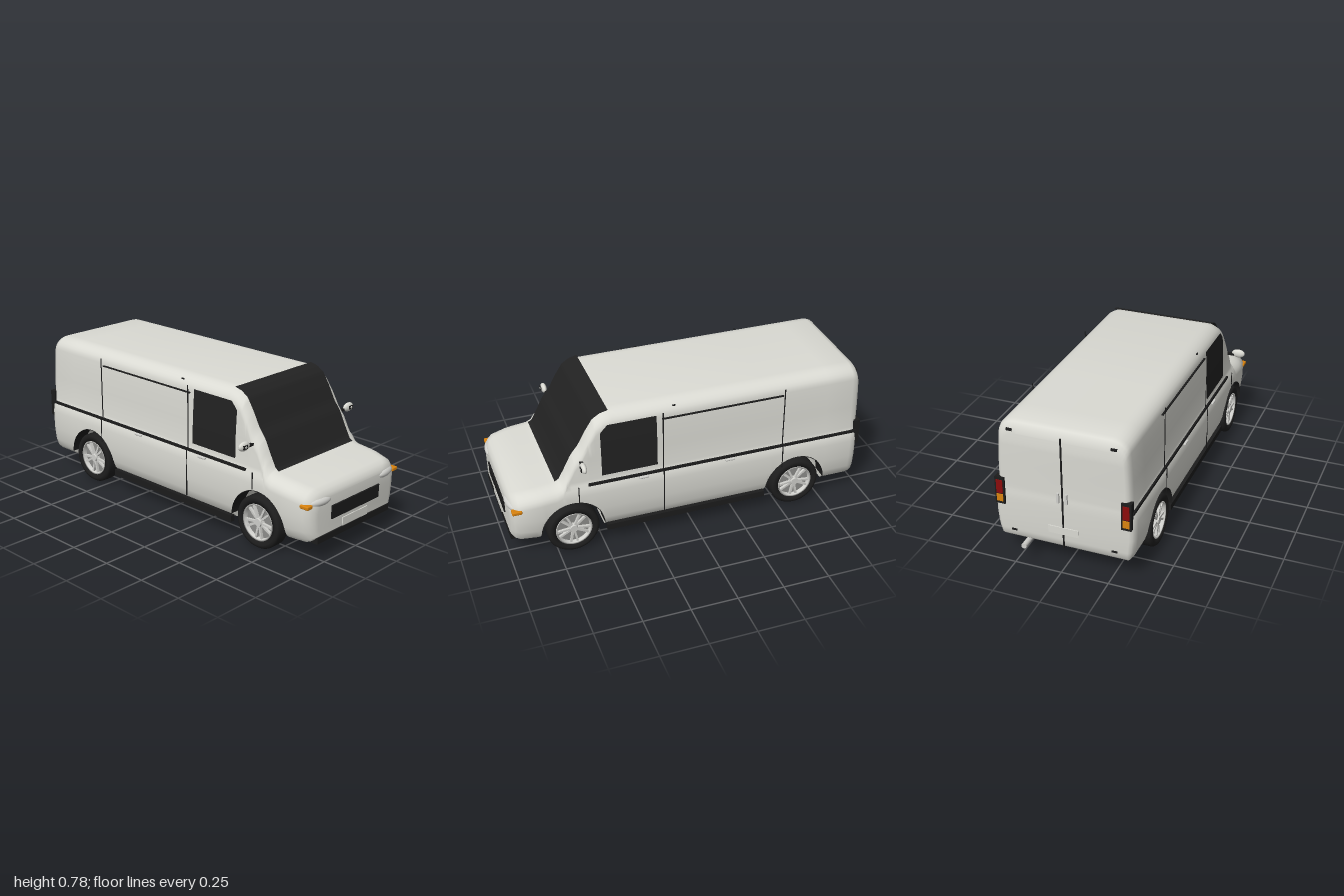
import * as THREE from 'three';
import { toCreasedNormals } from 'three/addons/utils/BufferGeometryUtils.js';
import { RoundedBoxGeometry } from 'three/addons/geometries/RoundedBoxGeometry.js';

const mat = (name, color, side = THREE.FrontSide) => {
  const m = new THREE.MeshStandardMaterial({ color, side });
  m.name = name;
  return m;
};

// Piecewise linear lookup in a table of [key, value] with rising keys
function lookup(table, k) {
  if (k <= table[0][0]) return table[0][1];
  for (let i = 1; i < table.length; i++) {
    const [k0, v0] = table[i - 1], [k1, v1] = table[i];
    if (k <= k1) return v0 + (v1 - v0) * (k - k0) / (k1 - k0);
  }
  return table[table.length - 1][1];
}

// Body lines: roof height and plan taper along z, half width along y
const ROOF = [[-0.957, 0.72], [-0.948, 0.755], [-0.935, 0.772], [-0.91, 0.78], [0.43, 0.78], [0.48, 0.768], [0.52, 0.742],
  [0.56, 0.68], [0.6, 0.605], [0.64, 0.555], [0.68, 0.475], [0.71, 0.42], [0.74, 0.405], [0.86, 0.392], [0.94, 0.378],
  [0.965, 0.365], [0.98, 0.345], [0.985, 0.33]];
const TAPER = [[-0.957, 0.92], [-0.948, 0.96], [-0.935, 0.985], [-0.91, 1], [0.82, 1], [0.9, 0.985], [0.94, 0.955],
  [0.965, 0.905], [0.98, 0.84], [0.985, 0.78]];
const FLOOR = [[-0.957, 0.16], [-0.948, 0.13], [-0.935, 0.115], [-0.91, 0.11], [0.94, 0.11], [0.965, 0.12], [0.985, 0.14]];
const SIDE = [[0.1, 0.325], [0.13, 0.35], [0.17, 0.363], [0.24, 0.371], [0.34, 0.372], [0.38, 0.366], [0.4, 0.355],
  [0.42, 0.351], [0.55, 0.349], [0.65, 0.343], [0.72, 0.337]];
const AXLES = [0.665, -0.59];
const ARCH = 0.17, AXLE_Y = 0.14, CORNER_H = 0.07, CORNER_W = 0.09;

function floorAt(z) {
  for (const a of AXLES) {
    const d = Math.abs(z - a);
    if (d <= ARCH + 1e-6) return AXLE_Y + Math.sqrt(Math.max(0, ARCH * ARCH - d * d));
  }
  return lookup(FLOOR, z);
}

// One half of a cross-section, from the sill up to the roof
function halfSection(z) {
  const bottom = floorAt(z), eave = lookup(ROOF, z) - CORNER_H, f = lookup(TAPER, z);
  const pts = [0.11, ...SIDE.slice(1).map(p => p[0]), 0.78].map(level => {
    const y = Math.min(Math.max(level, bottom), Math.max(eave, bottom));
    return [lookup(SIDE, y) * f, y];
  });
  const w = pts[pts.length - 1][0];
  for (let i = 1; i <= 7; i++) {
    const a = i / 7 * Math.PI / 2;
    pts.push([w - CORNER_W * (1 - Math.cos(a)), Math.max(eave, bottom) + CORNER_H * Math.sin(a)]);
  }
  return pts;
}

function bodyGeometry() {
  const zs = ROOF.map(r => r[0]);
  for (const a of AXLES) {
    zs.push(a - ARCH - 0.0005, a + ARCH + 0.0005);
    for (let i = 0; i <= 20; i++) zs.push(a + ARCH * Math.cos(i / 20 * Math.PI));
  }
  zs.sort((a, b) => a - b);
  const pos = [], idx = [];
  let n = 0;
  for (const z of zs) {
    const half = halfSection(z);
    const ring = [...half, ...half.slice().reverse().map(([x, y]) => [-x, y])];
    n = ring.length;
    ring.forEach(([x, y]) => pos.push(x, y, z));
  }
  for (let s = 0; s < zs.length - 1; s++) {
    for (let i = 0; i < n; i++) {
      const a = s * n + i, b = s * n + (i + 1) % n;
      idx.push(a, b, b + n, a, b + n, a + n);
    }
  }
  // Nose and tail caps
  const last = (zs.length - 1) * n;
  for (let i = 0; i < n / 2 - 1; i++) {
    const j = n - 1 - i;
    idx.push(last + i, last + i + 1, last + j - 1, last + i, last + j - 1, last + j);
    idx.push(i, j - 1, i + 1, i, j, j - 1);
  }
  const g = new THREE.BufferGeometry();
  g.setAttribute('position', new THREE.Float32BufferAttribute(pos, 3));
  g.setIndex(idx);
  return toCreasedNormals(g, 0.75);
}

// Grid whose vertices are placed by a rule of u, v in 0..1
function sheet(nu, nv, rule) {
  const g = new THREE.PlaneGeometry(1, 1, nu, nv), p = g.attributes.position;
  for (let i = 0; i < p.count; i++) p.setXYZ(i, ...rule(p.getX(i) + 0.5, p.getY(i) + 0.5));
  g.computeVertexNormals();
  return g;
}

export function createModel() {
  const model = new THREE.Group();
  const paint = mat('body paint', 0xdadad3);
  const glass = mat('dark glass', 0x222222, THREE.DoubleSide);
  const trim = mat('black trim', 0x1c1c1c, THREE.DoubleSide);
  const rubber = mat('tyre rubber', 0x1e1e1e);
  const silver = mat('silver', 0xd0d0cc, THREE.DoubleSide);
  const recess = mat('wheel recess grey', 0x8e8e8b);
  const amber = mat('amber lens', 0xd9830f);
  const red = mat('red lens', 0x8c0c0c);

  const add = (name, geo, material, x = 0, y = 0, z = 0, parent = model) => {
    const m = new THREE.Mesh(geo, material);
    m.name = name;
    m.position.set(x, y, z);
    parent.add(m);
    return m;
  };
  const box = (name, material, w, h, d, x, y, z, parent) => add(name, new THREE.BoxGeometry(w, h, d), material, x, y, z, parent);

  add('body', bodyGeometry(), paint);
  add('windscreen', sheet(1, 28, (u, v) => {
    const z = 0.73 - 0.295 * v;
    return [(u - 0.5) * 0.59, lookup(ROOF, z) + 0.004, z + 0.006];
  }), glass);

  // Nose
  box('grille', trim, 0.38, 0.07, 0.008, 0, 0.24, 0.987);
  box('grilleRail', trim, 0.38, 0.006, 0.014, 0, 0.273, 0.987);
  box('frontPlate', paint, 0.2, 0.045, 0.006, 0, 0.162, 0.987);
  box('frontBumper', trim, 0.58, 0.034, 0.155, 0, 0.117, 0.908);

  // Tail
  box('rearDoorSeam', trim, 0.008, 0.62, 0.006, 0, 0.43, -0.958);
  box('rearPlate', paint, 0.16, 0.04, 0.006, 0, 0.22, -0.959);
  const pipe = add('exhaust', new THREE.CylinderGeometry(0.014, 0.014, 0.12, 20), silver, 0.2, 0.107, -0.94);
  pipe.rotation.x = Math.PI / 2;

  // Wheel shapes, axis along y before turning
  const tyreGeo = new THREE.LatheGeometry([[0.096, -0.036], [0.118, -0.043], [0.132, -0.04], [0.14, -0.028], [0.14, 0.028],
    [0.132, 0.04], [0.118, 0.043], [0.096, 0.036], [0.096, -0.036]].map(p => new THREE.Vector2(...p)), 48);
  const rimGeo = new THREE.LatheGeometry([[0.09, -0.036], [0.098, -0.038], [0.098, 0.038], [0.09, 0.036], [0.087, 0.012]]
    .map(p => new THREE.Vector2(...p)), 40);

  function wheel(parent, z) {
    const w = new THREE.Group();
    w.name = 'wheel';
    w.position.set(0.3285, AXLE_Y, z);
    w.rotation.z = -Math.PI / 2;
    parent.add(w);
    add('tyre', tyreGeo, rubber, 0, 0, 0, w);
    add('rim', rimGeo, silver, 0, 0, 0, w);
    add('wheelRecess', new THREE.CylinderGeometry(0.092, 0.092, 0.006, 40), recess, 0, 0.012, 0, w);
    add('wheelBack', new THREE.CylinderGeometry(0.092, 0.092, 0.006, 40), silver, 0, -0.01, 0, w);
    add('hub', new THREE.CylinderGeometry(0.02, 0.026, 0.024, 24), silver, 0, 0.027, 0, w);
    for (let i = 0; i < 5; i++) {
      for (const s of [-1, 1]) {
        const arm = new THREE.Group();
        arm.name = 'spoke';
        arm.rotation.y = i / 5 * Math.PI * 2 + s * 0.2;
        w.add(arm);
        box('spokeBar', silver, 0.078, 0.014, 0.011, 0.053, 0.024, 0, arm);
      }
    }
  }

  // Everything that repeats on both sides, built for +x and turned or mirrored
  for (const s of [1, -1]) {
    const side = new THREE.Group();
    side.name = s > 0 ? 'leftSide' : 'rightSide';
    side.scale.x = s;
    model.add(side);

    for (const z of AXLES) {
      wheel(side, z);
      // Wheel arch lining
      add('archLiner', sheet(28, 1, (u, v) => {
        const a = u * Math.PI;
        return [0.285 + 0.091 * v, AXLE_Y + (ARCH - 0.002) * Math.sin(a), z + (ARCH - 0.002) * Math.cos(a)];
      }), trim);
      side.add(model.children.pop());
    }

    add('sideWindow', sheet(10, 14, (u, v) => {
      const y = 0.435 + 0.29 * v, z = 0.5 - 0.3 * u;
      return [lookup(SIDE, y) + 0.004, y, Math.min(z, 0.5 - Math.max(0, y - 0.685))];
    }), glass, 0, 0, 0, side);

    // Seams, belt line and sill
    box('beltLine', trim, 0.012, 0.014, 1.52, 0.358, 0.396, -0.185, side);
    box('doorSeamFront', trim, 0.003, 0.34, 0.005, 0.358, 0.575, 0.17, side);
    box('doorSeamLower', trim, 0.004, 0.26, 0.005, 0.371, 0.27, 0.17, side);
    box('doorSeamRear', trim, 0.003, 0.35, 0.005, 0.358, 0.57, -0.505, side);
    box('doorSeamRearLower', trim, 0.004, 0.14, 0.005, 0.371, 0.33, -0.505, side);
    box('slidingRail', trim, 0.01, 0.006, 0.675, 0.343, 0.7, -0.167, side);
    box('wingSeam', trim, 0.004, 0.09, 0.005, 0.372, 0.355, 0.63, side);
    box('sill', trim, 0.025, 0.034, 0.895, 0.352, 0.102, 0.037, side);
    for (const z of [0.28, -0.2])
      add('doorHandle', new RoundedBoxGeometry(0.014, 0.013, 0.052, 3, 0.005), silver, 0.37, 0.383, z, side);
    box('roofMarker', trim, 0.006, 0.006, 0.016, 0.322, 0.756, 0.1, side);

    // Lights
    const lamp = add('headlight', new THREE.SphereGeometry(1, 32, 20), silver, 0.262, 0.315, 0.967, side);
    lamp.scale.set(0.071, 0.024, 0.026);
    lamp.rotation.y = 0.15;
    add('turnSignal', new RoundedBoxGeometry(0.04, 0.02, 0.052, 3, 0.006), amber, 0.344, 0.308, 0.952, side);
    box('rearLampHousing', trim, 0.052, 0.15, 0.035, 0.332, 0.385, -0.949, side);
    box('rearLampRed', red, 0.034, 0.075, 0.006, 0.332, 0.408, -0.967, side);
    box('rearLampAmber', amber, 0.034, 0.04, 0.006, 0.332, 0.345, -0.967, side);
    box('rearHandle', silver, 0.012, 0.055, 0.012, 0.022, 0.41, -0.962, side);
    for (const y of [0.735, 0.165]) box('rearHinge', trim, 0.03, 0.012, 0.012, 0.268, y, -0.952, side);

    // Door mirror with a small square and diamond on its shell
    const shell = add('mirror', new THREE.SphereGeometry(1, 28, 18), paint, 0.411, 0.543, 0.61, side);
    shell.scale.set(0.038, 0.024, 0.016);
    box('mirrorArm', trim, 0.055, 0.012, 0.018, 0.361, 0.536, 0.605, side);
    box('mirrorSquare', trim, 0.03, 0.02, 0.008, 0.416, 0.543, 0.624, side);
    const gem = box('mirrorDiamond', paint, 0.011, 0.011, 0.004, 0.416, 0.543, 0.628, side);
    gem.rotation.z = Math.PI / 4;
  }
  return model;
}
